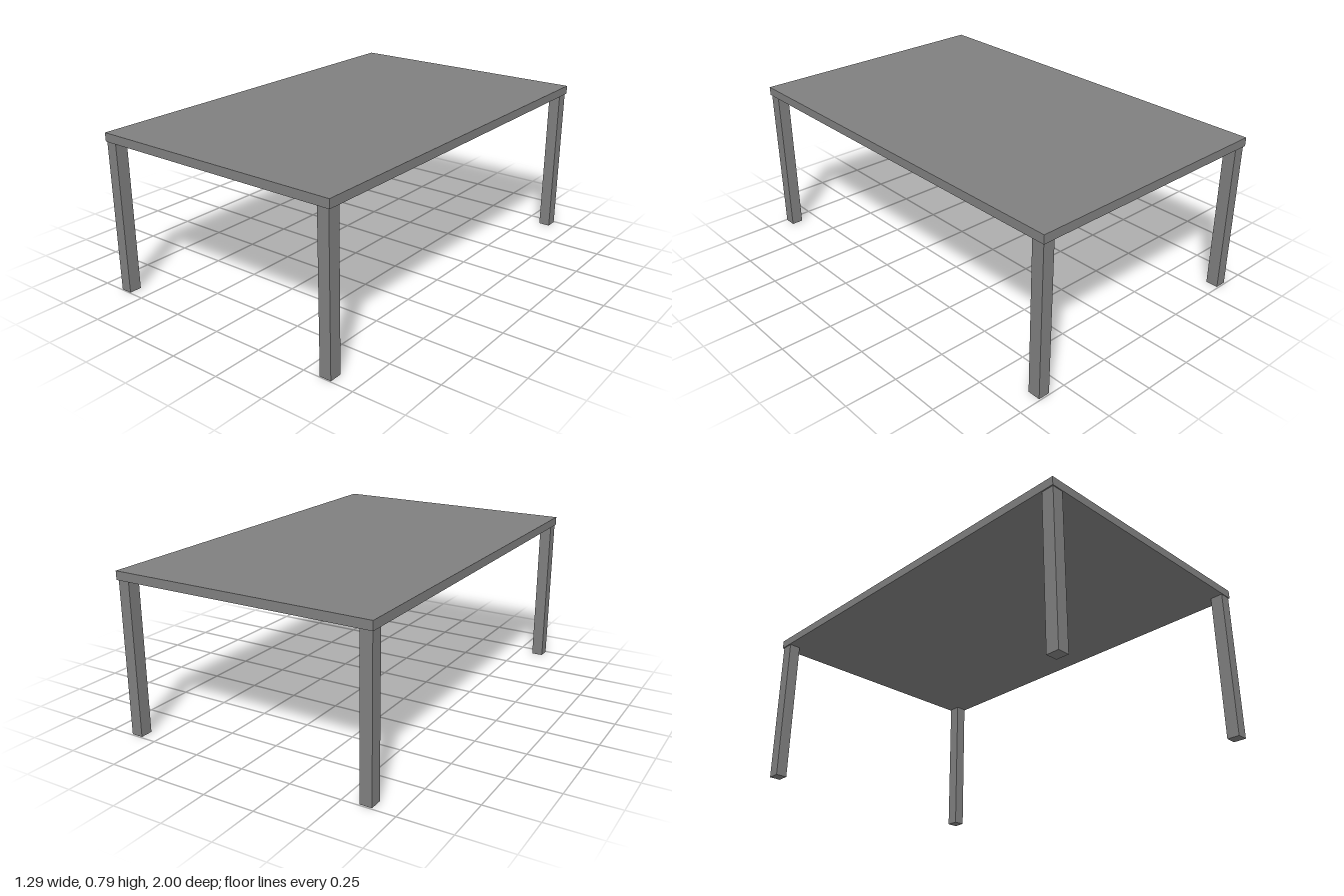
import * as THREE from 'three';

export function createModel() {
  const model = new THREE.Group();
  model.name = 'table';
  const material = new THREE.MeshStandardMaterial({ color: 0x7f7f7f, flatShading: true });

  const topHeight = 0.786;
  const topThickness = 0.042;
  const legHeight = topHeight - topThickness;
  const legWidth = 0.057;
  const legDepth = 0.062;

  const addBox = (name, size, position) => {
    const mesh = new THREE.Mesh(new THREE.BoxGeometry(...size), material);
    mesh.name = name;
    mesh.position.set(...position);
    model.add(mesh);
  };

  // Flat slab top
  addBox('tableTop', [1.29, topThickness, 2], [0, topHeight - topThickness / 2, 0]);

  // Four square legs, set just inside the corners
  for (const [sideName, x] of [['Left', 0.61], ['Right', -0.611]]) {
    for (const [endName, z] of [['front', 0.965], ['back', -0.962]]) {
      addBox(`${endName}${sideName}Leg`, [legWidth, legHeight, legDepth], [x, legHeight / 2, z]);
    }
  }

  return model;
}
